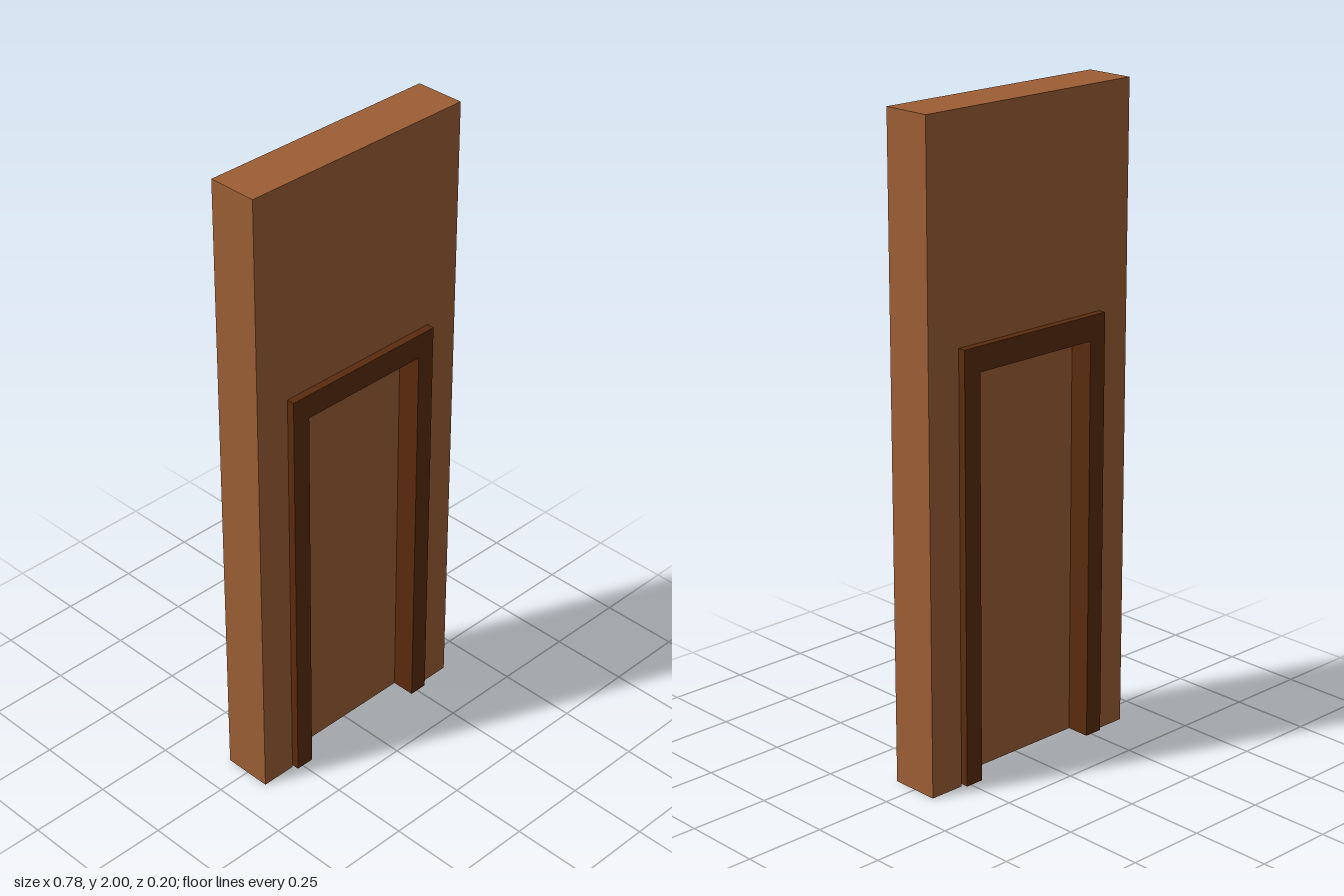
import * as THREE from 'three';

const wallBrown = new THREE.MeshStandardMaterial({ name: 'wallBrown', color: 0x9c5e34 });
const frameBrown = new THREE.MeshStandardMaterial({ name: 'frameBrown', color: 0x5a2b0e });

// Upside-down U: outer rectangle with a doorway open at the bottom, extruded along z
function arch(name, outer, inner, bottom, depth, material) {
  const shape = new THREE.Shape([
    [-outer.x, bottom], [-inner.x, bottom], [-inner.x, inner.y], [inner.x, inner.y],
    [inner.x, bottom], [outer.x, bottom], [outer.x, outer.y], [-outer.x, outer.y],
  ].map(([x, y]) => new THREE.Vector2(x, y)));
  const geometry = new THREE.ExtrudeGeometry(shape, { depth, bevelEnabled: false });
  geometry.translate(0, 0, -depth / 2);
  const mesh = new THREE.Mesh(geometry, material);
  mesh.name = name;
  return mesh;
}

export function createModel() {
  const model = new THREE.Group();
  model.name = 'doorway';

  const wallSize = { x: 0.39, y: 2 };
  const opening = { x: 0.277, y: 1.333 };
  const doorSize = { x: 0.218, y: 1.257 };
  const sill = 0.008;

  // Wall with the door opening, and the frame lining it and standing proud on both sides
  model.add(arch('wall', wallSize, opening, 0, 0.156, wallBrown));
  model.add(arch('doorFrame', opening, doorSize, sill, 0.204, frameBrown));

  // Door leaf recessed midway in the frame
  const door = new THREE.Mesh(
    new THREE.BoxGeometry(doorSize.x * 2, doorSize.y - sill, 0.054), wallBrown);
  door.name = 'doorPanel';
  door.position.y = (doorSize.y + sill) / 2;
  model.add(door);

  return model;
}
